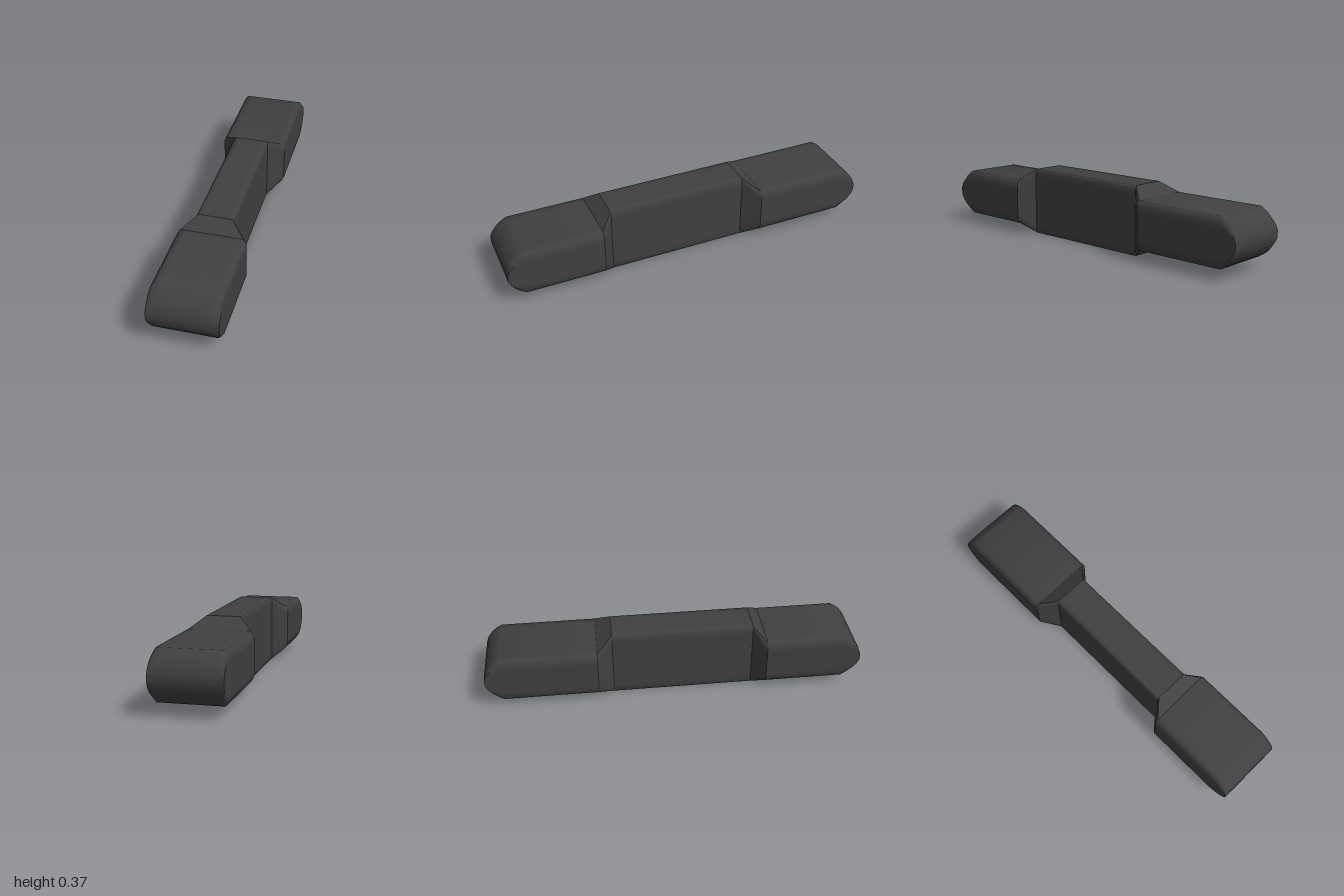
import * as THREE from 'three';
import { toCreasedNormals } from 'three/addons/utils/BufferGeometryUtils.js';

const MID_Y = 0.186;

// Bevelled rectangular cross-section, anticlockwise seen from +z; the extra points keep the faces flat
// and the bevels soft.
function section(w, h, bx, by) {
  const s = 0.03;
  const q = [[w, h - by - s], [w, h - by], [w - bx, h], [w - bx - s, h]];
  const flip = (list, sx, sy) => list.map(([x, y]) => [x * sx, y * sy]);
  const r = [...q].reverse();
  return [...q, ...flip(r, -1, 1), ...flip(q, -1, -1), ...flip(r, 1, -1)];
}

// Skin through rings of { z, pts, k } listed from back to front; k squashes the height.
function loft(rings, capBack, capFront) {
  const pos = [], index = [], n = rings[0].pts.length;
  for (const { z, pts, k = 1 } of rings)
    for (const [x, y] of pts) pos.push(x, MID_Y + y * k, z);
  for (let r = 0; r < rings.length - 1; r++)
    for (let i = 0; i < n; i++) {
      const a = r * n + i, b = r * n + (i + 1) % n;
      index.push(a, b, b + n, a, b + n, a + n);
    }
  const cap = (r, front) => {
    const c = pos.length / 3;
    pos.push(0, MID_Y, rings[r].z);
    for (let i = 0; i < n; i++) {
      const a = r * n + i, b = r * n + (i + 1) % n;
      index.push(c, front ? a : b, front ? b : a);
    }
  };
  if (capBack) cap(0, false);
  if (capFront) cap(rings.length - 1, true);
  const g = new THREE.BufferGeometry();
  g.setAttribute('position', new THREE.Float32BufferAttribute(pos, 3));
  g.setIndex(index);
  return toCreasedNormals(g, 1.05);
}

export function createModel() {
  const group = new THREE.Group();
  group.name = 'link';
  const material = new THREE.MeshStandardMaterial({ color: 0x404040 });
  material.name = 'darkGrey';
  const add = (name, geometry) => {
    const mesh = new THREE.Mesh(geometry, material);
    mesh.name = name;
    group.add(mesh);
  };

  const web = section(0.096, 0.185, 0.007, 0.012);  // tall, narrow middle
  const pad = section(0.177, 0.127, 0.016, 0.025);  // low, wide ends
  const backWeb = -0.325, frontWeb = 0.422;

  add('middleBar', loft([{ z: backWeb, pts: web }, { z: frontWeb, pts: web }]));

  // Flares and round-nosed pads at both ends
  const nose = [[0.908, 1], [0.935, 0.87], [0.96, 0.71], [0.985, 0.45], [0.998, 0.18]];
  for (const [side, dir, start, end] of [['front', 1, frontWeb, 0.49], ['back', -1, backWeb, -0.408]]) {
    const order = (rings) => (dir > 0 ? rings : rings.reverse());
    add(side + 'Flare', loft(order([{ z: start, pts: web }, { z: end, pts: pad }])));
    const rings = [{ z: end, pts: pad }, ...nose.map(([z, k]) => ({ z: z * dir, pts: pad, k }))];
    add(side + 'Pad', loft(order(rings), dir < 0, dir > 0));
  }

  // The whole link sits at a very slight yaw
  group.rotation.y = 0.0137;
  return group;
}
